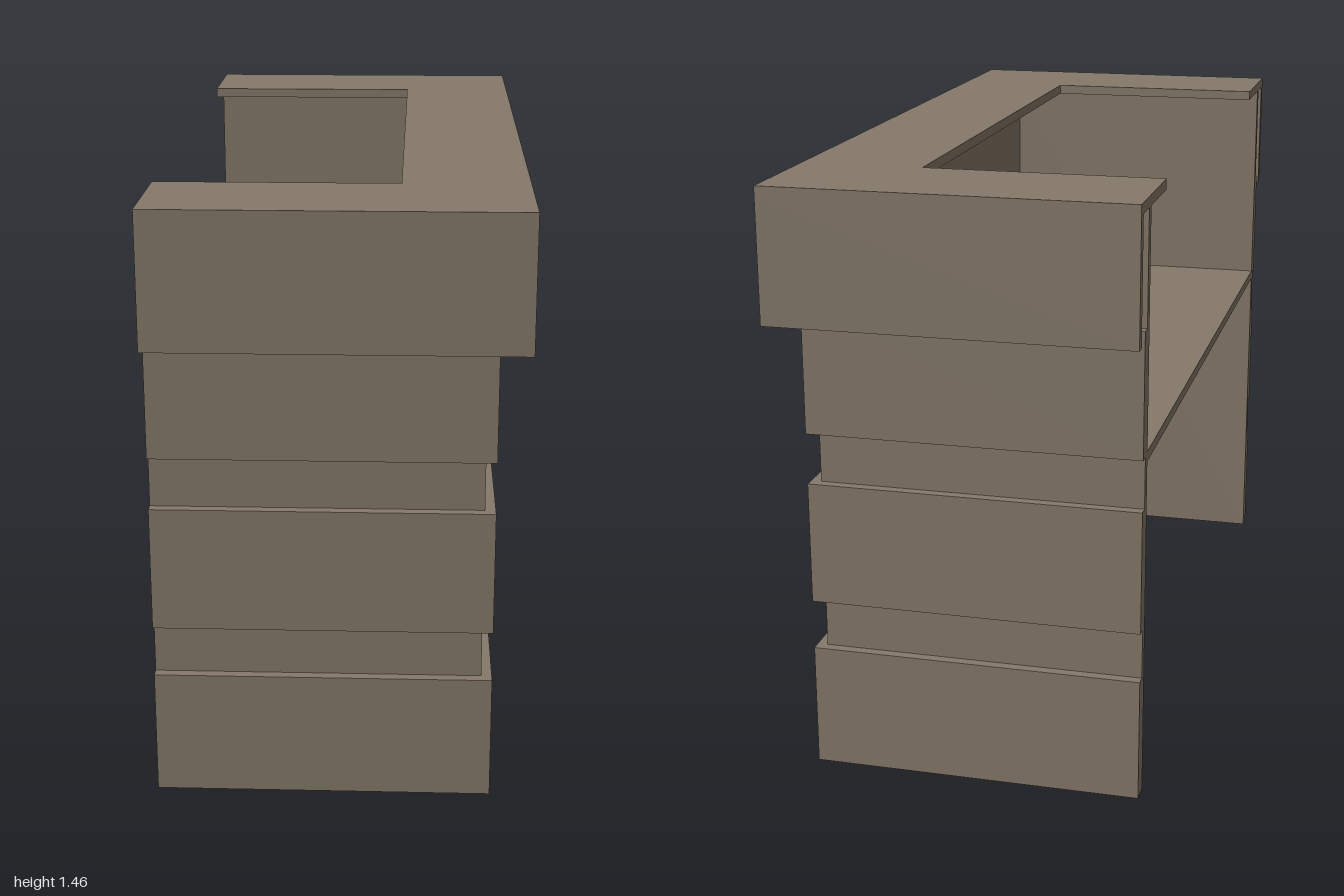
import * as THREE from 'three';

const BACK = -0.44; // open staff side of the desk

// U-shaped band, open toward -x, extruded from y0 to y1
function uBand(name, material, outerX, outerZ, innerX, innerZ, y0, y1) {
  const shape = new THREE.Shape([
    [BACK, -outerZ], [outerX, -outerZ], [outerX, outerZ], [BACK, outerZ],
    [BACK, innerZ], [innerX, innerZ], [innerX, -innerZ], [BACK, -innerZ],
  ].map(([x, z]) => new THREE.Vector2(x, z)));
  const geometry = new THREE.ExtrudeGeometry(shape, { depth: y1 - y0, bevelEnabled: false });
  geometry.rotateX(-Math.PI / 2).translate(0, y0, 0);
  const mesh = new THREE.Mesh(geometry, material);
  mesh.name = name;
  return mesh;
}

export function createModel() {
  const group = new THREE.Group();
  group.name = 'receptionDesk';
  const taupe = new THREE.MeshStandardMaterial({ color: 0x857969 });
  taupe.name = 'taupe';

  // Thin inner walls running the full height
  group.add(uBand('coreWalls', taupe, 0.342, 0.91, 0.317, 0.885, 0, 1.43));

  // Raised cladding strips with recessed gaps between them
  [[0, 0.305], [0.428, 0.73], [0.855, 1.158]].forEach(([y0, y1], i) => {
    group.add(uBand(`claddingStrip${i + 1}`, taupe, 0.367, 0.935, 0.342, 0.91, y0, y1));
  });

  // Countertop and the apron hanging from its outer edge
  group.add(uBand('countertop', taupe, 0.44, 1, 0.14, 0.7, 1.43, 1.455));
  group.add(uBand('counterApron', taupe, 0.44, 1, 0.415, 0.975, 1.13, 1.43));

  // Work surface between the walls
  const desk = new THREE.Mesh(new THREE.BoxGeometry(0.757, 0.025, 1.77), taupe);
  desk.name = 'workSurface';
  desk.position.set((BACK + 0.317) / 2, 0.849, 0);
  group.add(desk);

  return group;
}
